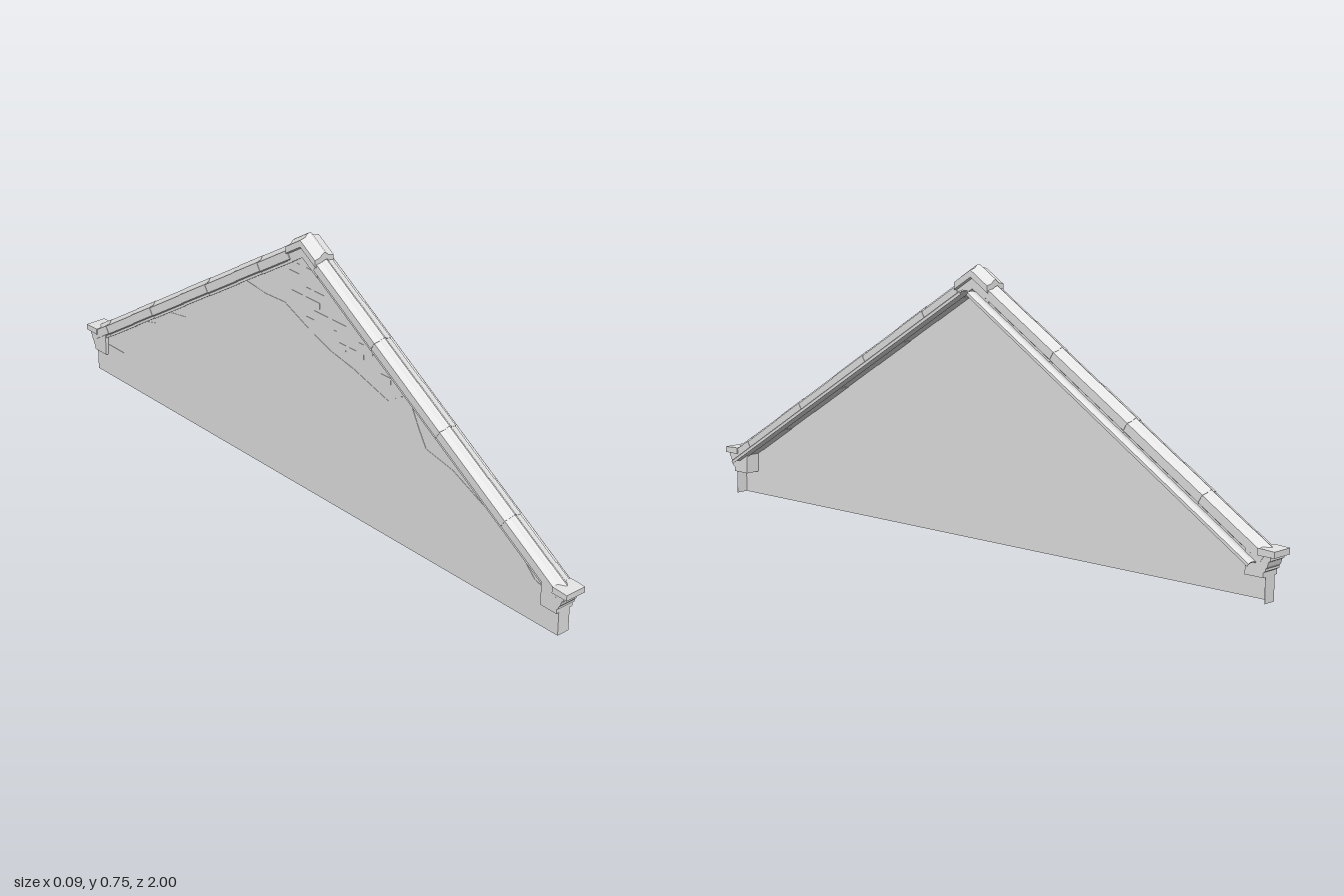
import * as THREE from 'three';

const SLOPE = 0.625;            // fall of the roof line per unit of z
const RIDGE = 0.745;            // height of the coping ridge line at z = 0
const CX = -0.014;              // centre of the wall thickness
const COS = 1 / Math.hypot(1, SLOPE), SIN = SLOPE * COS;

export function createModel() {
  const stone = new THREE.MeshStandardMaterial({ color: 0xe5e5e5 });
  stone.name = 'paleStone';
  const model = new THREE.Group();
  model.name = 'gableWall';

  const add = (name, geometry) => {
    const mesh = new THREE.Mesh(geometry, stone);
    mesh.name = name;
    model.add(mesh);
    return mesh;
  };
  const extrude = (pts, depth, steps = 1) => new THREE.ExtrudeGeometry(
    new THREE.Shape(pts.map(([x, y]) => new THREE.Vector2(x, y))), { depth, steps, bevelEnabled: false });

  // Side outline given as [z, y], extruded from x0 to x1
  const plate = (name, pts, x0, x1) => {
    const g = extrude(pts.map(([z, y]) => [-z, y]), x1 - x0);
    g.rotateY(Math.PI / 2).translate(x0, 0, 0);
    return add(name, g);
  };

  // Cross-section [x, outward], run down one slope from distance s0 to s1
  const run = (name, pts, side, s0, s1) => {
    const g = extrude(pts, s1 - s0);
    const start = side > 0 ? s0 : s1;
    const m = new THREE.Matrix4().makeBasis(
      new THREE.Vector3(1, 0, 0),
      new THREE.Vector3(0, COS, SIN * side),
      new THREE.Vector3(0, -SIN * side, COS));
    m.setPosition(0, RIDGE - SIN * start, COS * start * side);
    g.applyMatrix4(m);
    return add(name, g);
  };

  // Full section from its right half, listed from top centre to bottom centre
  const section = (half, k = 1, lift = 0) => [
    ...half.slice().reverse().map(([x, y]) => [CX + x * k, y + lift]),
    ...half.slice(1, -1).map(([x, y]) => [CX - x * k, y + lift]),
  ];

  // Thin wall sheet, set back under the coping
  const wallTop = (z) => RIDGE - 0.045 - SLOPE * Math.abs(z);
  const E = 0.965;
  plate('wall', [[-E, 0], [E, 0], [E, wallTop(E)], [0, wallTop(0)], [-E, wallTop(E)]], -0.032, -0.0312);

  // Return flaps at both ends of the sheet
  for (const side of [1, -1]) {
    add('wallEnd', new THREE.BoxGeometry(0.038, 0.09, 0.001).translate(CX, 0.045, side * (E - 0.0005)));
  }

  // Plaster coat with a broken upper edge on the outer face
  const ragged = [[-E, 0.1], [-0.83, 0.1], [-0.78, 0.18], [-0.73, 0.242], [-0.66, 0.26], [-0.6, 0.317],
    [-0.52, 0.33], [-0.4, 0.43], [-0.245, 0.54], [-0.16, 0.53], [-0.08, 0.533], [0.02, 0.49], [0.11, 0.458],
    [0.2, 0.44], [0.335, 0.4], [0.38, 0.43], [0.413, 0.441], [0.45, 0.37], [0.48, 0.32], [0.58, 0.3],
    [0.69, 0.25], [0.8, 0.2], [0.88, 0.12], [E, 0.1]];
  plate('plaster', [[-E, 0], [E, 0], ...ragged.slice().reverse()], -0.033, -0.032);
  const raggedAt = (z) => {
    const i = ragged.findIndex((p) => p[0] >= z);
    const [a, b] = [ragged[i - 1], ragged[i]];
    return a[1] + (b[1] - a[1]) * (z - a[0]) / (b[0] - a[0]);
  };

  // Scattered brick faces above the plaster
  for (let row = 0; row < 20; row++) {
    const y = 0.15 + row * 0.028;
    for (let col = -12; col <= 12; col++) {
      const z = col * 0.07 + (row % 2) * 0.035;
      const blocked = [z - 0.03, z + 0.03].some(
        (e) => Math.abs(e) > 0.93 || y - 0.012 < raggedAt(e) || y + 0.01 > wallTop(e));
      if (blocked || (row * 7 + col * 5 + 100) % 3 === 0) continue;
      add('brickFace', new THREE.BoxGeometry(0.0008, 0.018, 0.056).translate(-0.0322, y, z));
    }
  }

  // Coping stones, each a little different in width from the next
  const coping = [[0, 0], [0.005, -0.002], [0.012, -0.009], [0.019, -0.011], [0.028, -0.013],
    [0.028, -0.037], [0.024, -0.04], [0.024, -0.047], [0, -0.047]];
  const joints = [0.068, 0.192, 0.296, 0.424, 0.544, 0.688, 0.784, 0.912, 0.975];
  for (const side of [1, -1]) {
    for (let i = 0; i < joints.length - 1; i++) {
      const odd = i % 2;
      run('copingStone', section(coping, odd ? 1.02 : 0.98, odd ? 0.0005 : -0.0005), side,
        joints[i] / COS, joints[i + 1] / COS);
    }
  }

  // Thin curved flashing strip beside the coping
  const flashing = [[0.008, -0.05], [0.018, -0.046], [0.026, -0.043], [0.036, -0.043], [0.042, -0.046],
    [0.044, -0.052], [0.045, -0.052], [0.045, -0.044], [0.04, -0.04], [0.03, -0.039], [0.02, -0.042], [0.008, -0.046]];
  for (const side of [1, -1]) run('flashing', flashing, side, 0.045, 1.14);

  // Apex saddle stone, bent over the ridge, with a narrower body below
  const saddle = [[0, 0.755], [0.006, 0.753], [0.014, 0.745], [0.032, 0.741], [0.032, 0.722],
    [0.025, 0.718], [0.025, 0.69], [0, 0.69]];
  const cap = extrude(section(saddle), 0.12, 2).translate(0, 0, -0.06);
  const p = cap.attributes.position;
  for (let i = 0; i < p.count; i++) p.setY(i, p.getY(i) - SLOPE * Math.abs(p.getZ(i)));
  cap.computeVertexNormals();
  add('saddleStone', cap);

  // Moulded kneelers at both eaves
  const kneeler = [[0.91, 0.067], [0.965, 0.067], [0.965, 0.08], [0.972, 0.084], [0.972, 0.09], [0.977, 0.096],
    [0.98, 0.108], [0.986, 0.111], [0.986, 0.122], [0.91, 0.15]];
  const slab = [[0.95, 0.121], [1, 0.121], [1, 0.137], [0.965, 0.139], [0.95, 0.139]];
  for (const side of [1, -1]) {
    const flip = (pts) => pts.map(([z, y]) => [z * side, y]);
    plate('kneeler', flip(kneeler), CX - 0.028, CX + 0.028);
    plate('kneelerSlab', flip(slab), CX - 0.032, CX + 0.032);
  }

  return model;
}
